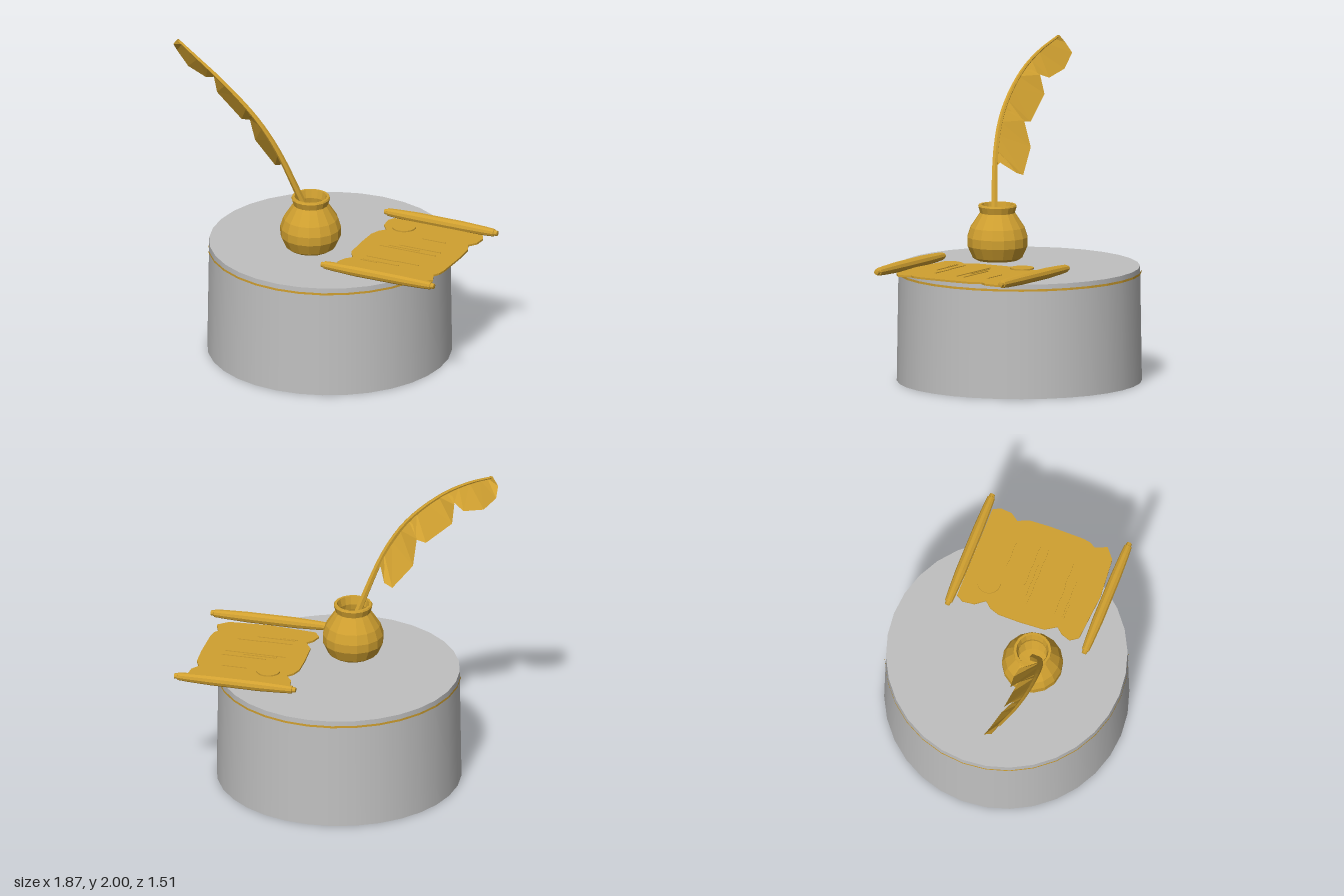
import * as THREE from 'three';

const V = (x, y, z) => new THREE.Vector3(x, y, z);

export function createModel() {
  const root = new THREE.Group();
  root.name = 'writingSetOnPedestal';

  const stone = new THREE.MeshStandardMaterial({ color: 0xc0c0c0 });
  stone.name = 'grey stone';
  const gold = new THREE.MeshStandardMaterial({ color: 0xd0a030, flatShading: true });
  gold.name = 'gold';
  const goldThin = new THREE.MeshStandardMaterial({ color: 0xd0a030, flatShading: true, side: THREE.DoubleSide });
  goldThin.name = 'gold sheet';

  const add = (parent, name, geometry, material, x = 0, y = 0, z = 0) => {
    const mesh = new THREE.Mesh(geometry, material);
    mesh.name = name;
    mesh.position.set(x, y, z);
    parent.add(mesh);
    return mesh;
  };
  const lathe = (points, sides) =>
    new THREE.LatheGeometry(points.map(([r, y]) => new THREE.Vector2(r, y)), sides);

  // Pedestal drum with a thin gold band
  add(root, 'pedestal', new THREE.CylinderGeometry(0.742, 0.753, 0.71, 32), stone, 0, 0.355, 0);
  add(root, 'pedestalBand', new THREE.CylinderGeometry(0.75, 0.75, 0.014, 32, 1, true), gold, 0, 0.675, 0);

  // Ink pot, hollow at the mouth
  add(root, 'inkPot', lathe([
    [0, 0.728], [0.13, 0.728], [0.155, 0.745], [0.187, 0.815], [0.188, 0.87], [0.168, 0.93],
    [0.125, 0.995], [0.108, 1.02], [0.12, 1.06], [0.115, 1.07], [0.1, 1.07], [0.088, 1.02],
    [0.095, 0.98], [0.13, 0.9], [0.1, 0.82], [0, 0.81],
  ], 16), gold, -0.04, 0, 0.185);

  // Quill shaft: a tapering tube
  const quill = new THREE.Group();
  quill.name = 'quill';
  root.add(quill);
  const spine = new THREE.CatmullRomCurve3([
    V(-0.015, 0.86, 0.18), V(-0.085, 1.07, 0.235), V(-0.215, 1.4, 0.305), V(-0.345, 1.6, 0.338),
    V(-0.56, 1.8, 0.35), V(-0.74, 1.915, 0.33), V(-0.89, 1.99, 0.29),
  ]);
  const rings = 24, sides = 6;
  const shaft = new THREE.TubeGeometry(spine, rings, 1, sides);
  const pos = shaft.attributes.position;
  for (let i = 0; i <= rings; i++) {
    const centre = spine.getPointAt(i / rings);
    const radius = 0.024 - 0.016 * (i / rings);
    for (let j = 0; j <= sides; j++) {
      const k = i * (sides + 1) + j;
      const p = V(0, 0, 0).fromBufferAttribute(pos, k).sub(centre).multiplyScalar(radius).add(centre);
      pos.setXYZ(k, p.x, p.y, p.z);
    }
  }
  add(quill, 'quillShaft', shaft, gold);

  // Feather lobes: each joins points on the shaft to an outer edge
  const lobes = [
    [
      [V(-0.16, 1.27, 0.28), V(-0.225, 1.33, 0.25)],
      [V(-0.18, 1.32, 0.29), V(-0.24, 1.24, 0.175)],
      [V(-0.205, 1.38, 0.3), V(-0.295, 1.22, 0.16)],
      [V(-0.25, 1.46, 0.315), V(-0.42, 1.375, 0.185)],
      [V(-0.3, 1.535, 0.328), V(-0.43, 1.535, 0.24)],
      [V(-0.35, 1.605, 0.338), V(-0.405, 1.585, 0.3)],
    ],
    [
      [V(-0.35, 1.605, 0.338), V(-0.405, 1.585, 0.3)],
      [V(-0.37, 1.625, 0.34), V(-0.425, 1.53, 0.24)],
      [V(-0.4, 1.66, 0.343), V(-0.49, 1.52, 0.23)],
      [V(-0.47, 1.725, 0.347), V(-0.655, 1.67, 0.235)],
      [V(-0.54, 1.785, 0.35), V(-0.66, 1.785, 0.27)],
      [V(-0.59, 1.82, 0.348), V(-0.64, 1.815, 0.315)],
    ],
    [
      [V(-0.59, 1.82, 0.348), V(-0.64, 1.815, 0.315)],
      [V(-0.62, 1.84, 0.346), V(-0.655, 1.79, 0.285)],
      [V(-0.67, 1.873, 0.34), V(-0.725, 1.76, 0.245)],
      [V(-0.74, 1.915, 0.33), V(-0.86, 1.8, 0.22)],
      [V(-0.81, 1.955, 0.313), V(-0.94, 1.89, 0.215)],
      [V(-0.86, 1.98, 0.3), V(-0.94, 1.95, 0.265)],
      [V(-0.885, 2, 0.29), V(-0.9, 2, 0.285)],
    ],
  ];
  lobes.forEach((rows, n) => {
    const points = [], index = [];
    rows.forEach(([a, b], i) => {
      points.push(a, b);
      const k = 2 * i;
      if (i) index.push(k - 2, k - 1, k, k - 1, k + 1, k);
    });
    const vane = new THREE.BufferGeometry().setFromPoints(points);
    vane.setIndex(index);
    vane.computeVertexNormals();
    add(quill, 'featherLobe' + (n + 1), vane, goldThin);
  });

  // Scroll sheet with worn edges
  const scroll = new THREE.Group();
  scroll.name = 'scroll';
  root.add(scroll);
  const outline = [
    [0.24, -0.42], [0.84, -0.42], [0.865, -0.375], [0.86, -0.3], [0.825, -0.25], [0.855, -0.18],
    [0.863, -0.05], [0.863, 0.17], [0.855, 0.22], [0.835, 0.255], [0.865, 0.33], [0.8, 0.385],
    [0.55, 0.405], [0.25, 0.38], [0.215, 0.33], [0.235, 0.27], [0.27, 0.23], [0.225, 0.16],
    [0.215, 0], [0.215, -0.14], [0.235, -0.2], [0.27, -0.24], [0.225, -0.3], [0.215, -0.375],
  ].map(([x, z]) => new THREE.Vector2(x, -z));
  const sheet = new THREE.ExtrudeGeometry(new THREE.Shape(outline), { depth: 0.012, bevelEnabled: false });
  sheet.rotateX(-Math.PI / 2);
  add(scroll, 'scrollSheet', sheet, gold, 0, 0.728, 0);

  // Rollers with small end knobs
  const rod = lathe([
    [0, -0.387], [0.016, -0.385], [0.018, -0.365], [0.024, -0.362], [0.028, -0.3], [0.033, -0.15],
    [0.034, 0.15], [0.028, 0.3], [0.024, 0.362], [0.018, 0.365], [0.016, 0.385], [0, 0.387],
  ], 10).rotateZ(Math.PI / 2);
  add(scroll, 'backRoller', rod, gold, 0.541, 0.756, -0.452);
  add(scroll, 'frontRoller', rod, gold, 0.547, 0.756, 0.447);

  // Round seal and pen strokes: [start x, end x, z]
  add(scroll, 'seal', new THREE.CylinderGeometry(0.073, 0.073, 0.009, 24), gold, 0.38, 0.769, -0.263);
  const strokes = [
    [0.53, 0.69, -0.207], [0.45, 0.73, -0.06], [0.39, 0.6, -0.028], [0.34, 0.72, -0.003],
    [0.34, 0.54, 0.178], [0.52, 0.69, 0.172], [0.34, 0.58, 0.23], [0.33, 0.44, 0.243],
  ];
  for (const [x0, x1, z] of strokes) {
    add(scroll, 'penStroke', new THREE.BoxGeometry(x1 - x0, 0.006, 0.008), gold, (x0 + x1) / 2, 0.742, z);
  }

  return root;
}
